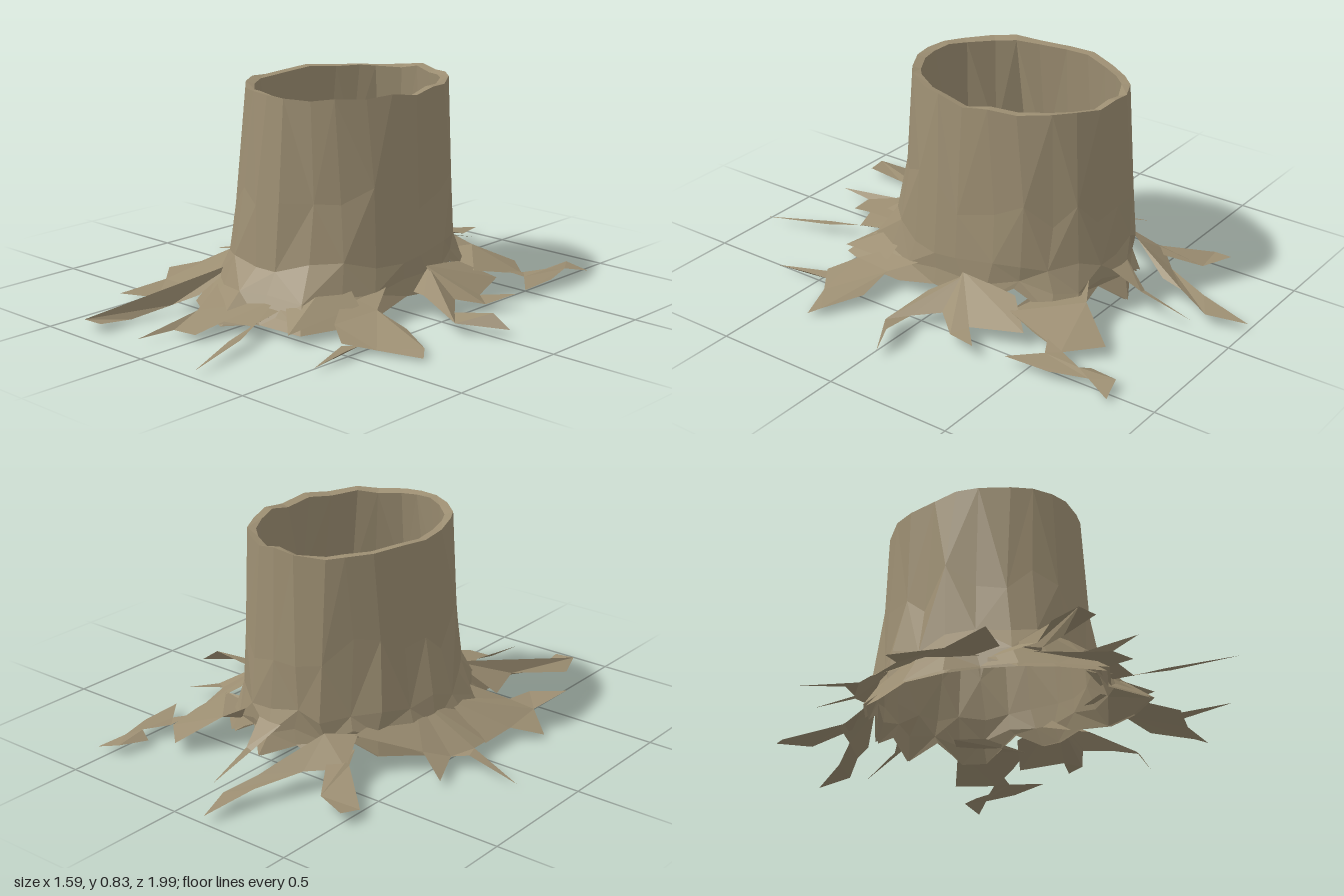
import * as THREE from 'three';

const bark = new THREE.MeshStandardMaterial({ color: 0x9c8e72, flatShading: true, side: THREE.DoubleSide });

let seed = 11;
function jitter(amount) {
  seed = (seed * 16807) % 2147483647;
  return (seed / 2147483647 - 0.5) * 2 * amount;
}

function build(name, positions, index) {
  const geo = new THREE.BufferGeometry();
  geo.setAttribute('position', new THREE.Float32BufferAttribute(positions, 3));
  geo.setIndex(index);
  geo.computeVertexNormals();
  const mesh = new THREE.Mesh(geo, bark);
  mesh.name = name;
  return mesh;
}

// Foot of the trunk every 15 degrees from its left side to the front: [flare, height]
const foot = [
  [0.06, 0.07], [0.06, 0.08], [0.12, 0.04], [0.19, 0.03], [0.27, 0.03], [0.18, 0.03],
  [0.27, 0.03], [0.22, 0.03], [0.2, 0.03], [0.09, 0.06], [0.14, 0.04], [0.14, 0.04],
  [0.12, 0.04], [0.12, 0.04], [0.07, 0.07], [0.03, 0.13], [0.06, 0.06], [0.03, 0.11],
  [0.08, 0.05], [0.03, 0.12], [0.08, 0.06], [0.08, 0.06], [0.03, 0.14], [0.06, 0.08],
];

// Hollow trunk: rings run up the outside, over the rim and down the inside
function hollowTrunk() {
  const SEG = foot.length;
  // [height, share of the foot's height, flare, share of the foot's flare, roughness, unevenness]
  const levels = [
    [0, 1, 0, 1, 0.004, 0.006], [0.1, 0.5, 0.025, 0.42, 0.01, 0.01], [0.21, 0, 0.036, 0.1, 0.012, 0.03],
    [0.44, 0, 0.02, 0.03, 0.013, 0.08], [0.815, 0, 0, 0, 0.005, 0.012],
  ];
  const outer = levels.map(([h, footH, flare, footF, rough, uneven]) =>
    foot.map(([footFlare, footHeight], i) => {
      const a = ((i + jitter(0.18)) / SEG) * Math.PI * 2;
      const off = flare * (1 + 0.4 * Math.sin(a)) + footF * footFlare + jitter(rough);
      return [Math.cos(a), Math.sin(a), off, h + footH * footHeight + jitter(uneven)];
    }));
  const inner = outer.map((ring, level) =>
    ring.map(([c, s, off, y]) => [c, s, off - 0.012 - 0.005 * level, y - 0.005 - jitter(0.006)])).reverse();
  const rings = [...outer, ...inner];
  const pos = [], index = [];
  for (const ring of rings)
    for (const [c, s, off, y] of ring)
      pos.push(-0.022 + c * (0.337 + off), y, -0.063 + s * (0.427 + off));
  for (let j = 0; j < rings.length - 1; j++)
    for (let i = 0; i < SEG; i++) {
      const k = (i + 1) % SEG;
      const a = j * SEG + i, b = j * SEG + k, c = b + SEG, d = a + SEG;
      // Alternate the diagonals for irregular facets
      if ((i + j) % 2) index.push(a, d, c, a, c, b);
      else index.push(a, d, b, b, d, c);
    }
  return build('hollowTrunk', pos, index);
}

// Root outlines seen from above, as [x, z] or [x, z, height]
const backRoots = [
  [[-0.14, -1, 0.03], [-0.09, -0.85], [-0.14, -0.72], [-0.15, -0.63], [-0.23, -0.47], [-0.31, -0.38], [-0.36, -0.51], [-0.25, -0.61], [-0.18, -0.79]],
  [[-0.51, -0.72], [-0.53, -0.64], [-0.36, -0.49], [-0.33, -0.42], [-0.29, -0.53], [-0.38, -0.67]],
  [[-0.02, -0.83], [0, -0.63], [0.04, -0.5], [-0.08, -0.5], [-0.025, -0.63]],
  [[0.31, -0.68], [0.21, -0.53], [0.1, -0.47], [0.08, -0.38, 0.1], [0.2, -0.34, 0.12], [0.39, -0.32], [0.42, -0.45], [0.43, -0.57]],
  [[0.46, -0.82], [0.55, -0.84], [0.51, -0.74], [0.55, -0.6], [0.56, -0.42], [0.47, -0.53], [0.41, -0.5], [0.43, -0.58], [0.48, -0.68], [0.43, -0.7]],
];
const sideRoots = [
  [[0.43, -0.41], [0.5, -0.22], [0.6, -0.31], [0.56, -0.18], [0.48, -0.08], [0.35, -0.08], [0.33, -0.3, 0.13]],
  [[0.24, -0.03, 0.08], [0.35, -0.1], [0.48, -0.1], [0.56, 0, 0.05], [0.72, -0.02, 0.08], [0.79, -0.03, 0.03], [0.62, 0.07, 0.04], [0.43, 0.02]],
  [[0.4, 0.24], [0.54, 0.24], [0.69, 0.32, 0.03], [0.72, 0.36, 0.01], [0.56, 0.42], [0.46, 0.49], [0.36, 0.42], [0.27, 0.27], [0.33, 0.1]],
  [[-0.8, -0.09, 0], [-0.6, -0.1], [-0.54, -0.13], [-0.61, -0.29], [-0.48, -0.22], [-0.31, -0.4], [-0.35, -0.1], [-0.38, 0.1], [-0.58, 0.03], [-0.58, -0.04]],
  [[-0.54, 0.64], [-0.42, 0.56], [-0.42, 0.42], [-0.3, 0.3], [-0.38, 0.05], [-0.58, 0.03], [-0.58, 0.19], [-0.68, 0.27], [-0.54, 0.41]],
];
const frontRoots = [
  [[0.46, 0.49], [0.52, 0.69], [0.52, 0.53], [0.5, 0.44]],
  [[0.27, 0.56], [0.15, 0.45], [0.22, 0.25], [0.35, 0.28]],
  [[0.08, 0.45], [0.13, 0.61], [0.16, 0.74], [0.26, 0.99, 0.02], [0.2, 0.72], [0.14, 0.59], [0.15, 0.45]],
  [[0, 0.75], [-0.1, 0.76], [-0.12, 0.91], [-0.12, 0.63], [-0.2, 0.45], [0.1, 0.45], [0.14, 0.6], [0.03, 0.64]],
  [[-0.31, 0.92], [-0.39, 0.93], [-0.42, 0.83], [-0.3, 0.61], [-0.36, 0.42], [-0.2, 0.35], [-0.22, 0.53], [-0.28, 0.61], [-0.32, 0.77]],
];

// A root is a thin sheet that climbs the trunk and sinks to the ground away from it
function root(name, outline) {
  const contour = outline.map(([x, z]) => new THREE.Vector2(x, z));
  const faces = THREE.ShapeUtils.triangulateShape(contour, []);
  const pos = [];
  for (const [x, z, height] of outline) {
    const u = (x + 0.022) / 0.335, v = (z + 0.06) / 0.425;
    const reach = Math.max(0, Math.hypot(u, v) - 1) * 0.38;
    const slope = 0.02 + 0.19 * Math.exp(-reach * (z < -0.3 ? 6 : 8));
    pos.push(x, height ?? Math.max(0.01, slope + jitter(0.016)), z);
  }
  // Wind each face so that it looks up
  const index = [];
  for (const [a, b, c] of faces) {
    const ab = contour[b].clone().sub(contour[a]);
    const ac = contour[c].clone().sub(contour[a]);
    if (ab.cross(ac) > 0) index.push(a, c, b);
    else index.push(a, b, c);
  }
  return build(name, pos, index);
}

export function createModel() {
  const model = new THREE.Group();
  model.name = 'treeStump';
  model.add(hollowTrunk());
  const sets = { backRoot: backRoots, sideRoot: sideRoots, frontRoot: frontRoots };
  for (const [name, outlines] of Object.entries(sets))
    outlines.forEach((outline, i) => model.add(root(name + (i + 1), outline)));
  return model;
}
